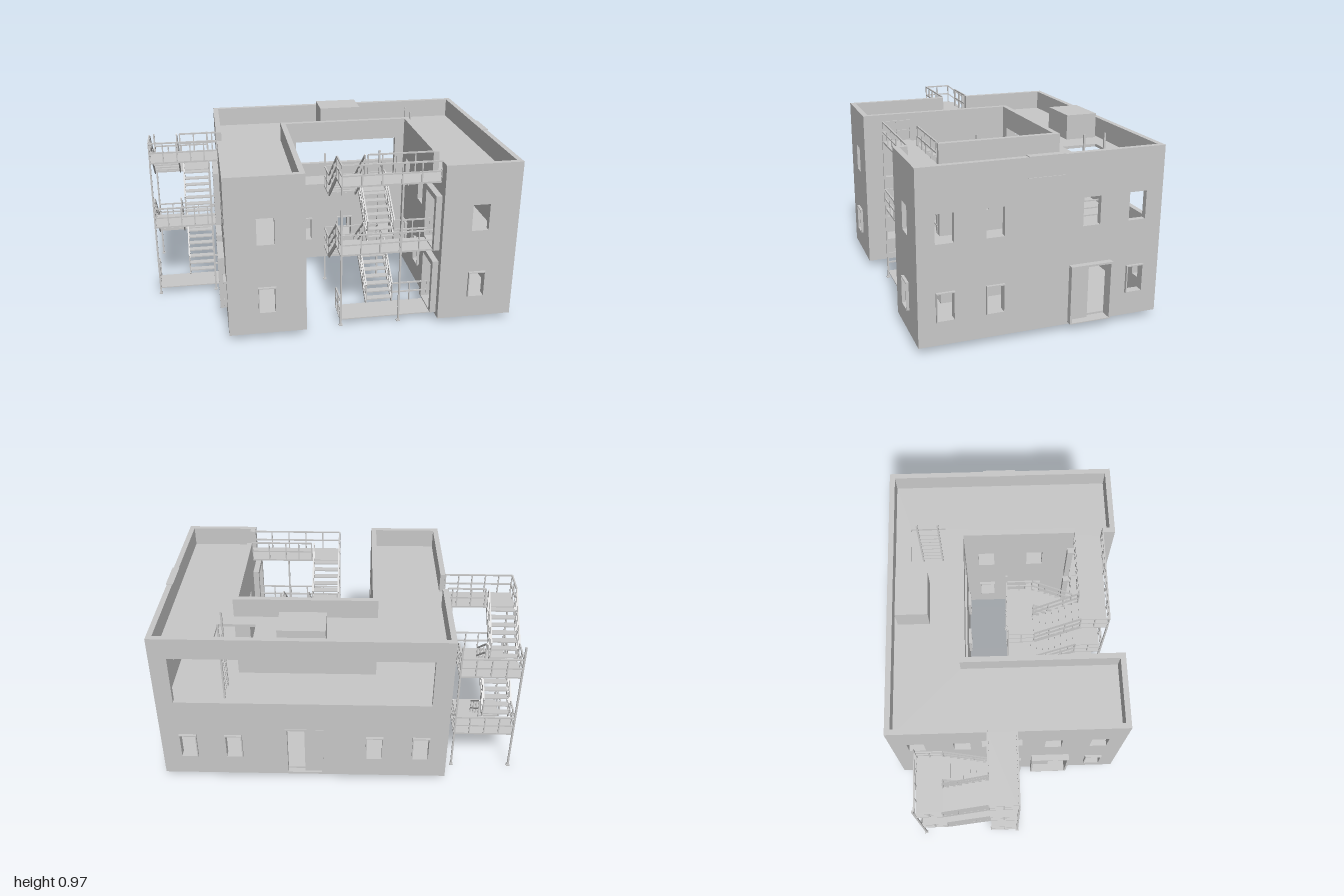
import * as THREE from 'three';

const grey = new THREE.MeshStandardMaterial({ color: 0xc8c8c8 });
grey.name = 'light grey';

const T = 0.03;                                   // wall thickness
const BASE = 0.035, DECK = 0.83, TOP = 0.94;      // underside, roof deck, parapet top

function add(parent, name, geometry) {
  const mesh = new THREE.Mesh(geometry, grey);
  mesh.name = name;
  parent.add(mesh);
  return mesh;
}

// Box given by its minimum and maximum corners
function box(parent, name, x0, x1, y0, y1, z0, z1) {
  const m = add(parent, name, new THREE.BoxGeometry(x1 - x0, y1 - y0, z1 - z0));
  m.position.set((x0 + x1) / 2, (y0 + y1) / 2, (z0 + z1) / 2);
}

// Square bar between two points
function bar(parent, name, a, b, w = 0.007, h = w) {
  const p = new THREE.Vector3(...a), q = new THREE.Vector3(...b);
  const m = add(parent, name, new THREE.BoxGeometry(w, h, p.distanceTo(q)));
  m.position.copy(p).add(q).multiplyScalar(0.5);
  m.lookAt(q);
}

function rect(Type, a, b, y0, y1) {
  return new Type([[a, y0], [b, y0], [b, y1], [a, y1]].map(p => new THREE.Vector2(...p)));
}

// Extrudes an upright shape across the wall, from depth d0 to d1 measured outwards
function panel(parent, name, shape, w, d0, d1) {
  const e = [w.outer + w.sign * d0, w.outer + w.sign * d1];
  const lo = Math.min(...e), hi = Math.max(...e);
  const m = add(parent, name, new THREE.ExtrudeGeometry(shape, { depth: hi - lo, bevelEnabled: false }));
  if (w.axis === 'z') m.position.z = lo;
  else { m.rotation.y = -Math.PI / 2; m.position.x = hi; }
}

function ring(outer, inner) {
  const s = rect(THREE.Shape, ...outer);
  s.holes.push(rect(THREE.Path, ...inner));
  return s;
}

// Wall with framed lower windows, plain upper windows, doors and an optional parapet gap
function wall(parent, w) {
  const g = new THREE.Group();
  g.name = w.name;
  parent.add(g);
  const pts = [[w.a, BASE], [w.b, BASE], [w.b, TOP]];
  if (w.gap) pts.push([w.gap[1], TOP], [w.gap[1], DECK], [w.gap[0], DECK], [w.gap[0], TOP]);
  pts.push([w.a, TOP]);
  const shape = new THREE.Shape(pts.map(p => new THREE.Vector2(...p)));
  const hole = (...r) => shape.holes.push(rect(THREE.Path, ...r));
  for (const c of w.low || []) {
    const o = [c - 0.048, c + 0.048, 0.163, 0.315];
    hole(...o);
    panel(g, 'windowFrame', ring(o, [o[0] + 0.006, o[1] - 0.006, o[2] + 0.006, o[3] - 0.006]), w, -T, 0.015);
  }
  for (const c of w.high || []) hole(c - 0.047, c + 0.047, 0.56, 0.71);
  if (w.big) hole(...w.big);
  // Double door: shallow frame and one closed leaf
  if (w.door) {
    const [a, b] = w.door, out = w.doorOut, mid = (a + b) / 2;
    hole(a, b, 0.045, 0.36);
    panel(g, 'doorFrame', ring([a, b, 0.045, 0.36], [a + 0.01, b - 0.01, 0.05, 0.35]), w, -T, out);
    const leaf = w.leafHigh ? [mid, b - 0.01] : [a + 0.01, mid];
    panel(g, 'doorLeaf', rect(THREE.Shape, ...leaf, 0.05, 0.35), w, -0.02, -0.01);
  }
  // Stair doors on both storeys, with deep projecting surrounds
  if (w.gap) for (const y of [0.06, 0.445]) {
    const [a, b] = w.gap;
    hole(a, b, y, y + 0.28);
    panel(g, 'stairDoorSurround', ring([a - 0.033, b + 0.03, y - 0.008, y + 0.31], [a, b, y, y + 0.28]), w, 0, 0.033);
  }
  panel(g, 'wallPanel', shape, w, -T, 0);
}

// U-shaped slab fitting inside the walls
function slab(parent, name, top, thick, hatch) {
  const s = new THREE.Shape([[-0.58, -0.618], [0.935, -0.618], [0.935, 0.618], [0.575, 0.618], [0.575, -0.25],
    [-0.22, -0.25], [-0.22, 0.618], [-0.58, 0.618]].map(p => new THREE.Vector2(...p)));
  if (hatch) s.holes.push(rect(THREE.Path, ...hatch));
  const geo = new THREE.ExtrudeGeometry(s, { depth: thick, bevelEnabled: false });
  geo.rotateX(Math.PI / 2);
  add(parent, name, geo).position.y = top;
}

// Guard rail along a straight edge, level or sloping
function guard(parent, a, b, posts = 2) {
  const h = 0.112;
  for (const f of [1, 0.5])
    bar(parent, 'handRail', [a[0], a[1] + h * f, a[2]], [b[0], b[1] + h * f, b[2]], 0.008);
  for (let i = 0; i <= posts; i++) {
    const p = a.map((v, k) => v + (b[k] - v) * i / posts);
    bar(parent, 'railPost', p, [p[0], p[1] + h, p[2]], 0.007);
  }
}

// Two-storey switchback stair; bridge is the x where its landings meet the building
function stair(parent, name, ox, oz, bridge) {
  const g = new THREE.Group();
  g.name = name;
  const level = k => 0.04 + k * 0.1975;
  const x0 = 0.01, x1 = 0.338, zH = 0.02, zA = 0.17, zB = 0.42, zN = 0.577, steps = 7;
  // Legs with foot plates
  for (const x of [x0, x1]) for (const [z, top] of [[zH, 0.825], [zN, DECK]]) {
    bar(g, 'leg', [x, 0, z], [x, top, z], 0.01);
    box(g, 'foot', x - 0.01, x + 0.01, 0, 0.006, z - 0.01, z + 0.01);
  }
  // Landings beside the building
  for (const k of [0, 2, 4]) {
    const y = level(k);
    box(g, 'landing', x0 - 0.005, bridge, y - (k ? 0.01 : 0.006), y, zB, zN);
    guard(g, [x0, y, zB], [x0, y, zN]);
    guard(g, [x1, y, zB], [bridge - 0.03, y, zB]);
    if (k) guard(g, [x0, y, zN], [bridge - 0.03, y, zN], 5);
  }
  guard(g, [0.18, level(4), zB], [x1, level(4), zB]);
  // Half landings
  for (const k of [1, 3]) {
    const y = level(k);
    box(g, 'halfLanding', x0 - 0.005, x1 + 0.005, y - 0.01, y, zH, zA);
    guard(g, [x0, y, zA], [x0, y, zH]);
    guard(g, [x1, y, zA], [x1, y, zH]);
    guard(g, [x0, y, zH], [x1, y, zH], 4);
  }
  // Flights with treads, stringers and rails
  for (let k = 0; k < 4; k++) {
    const up = k % 2 === 0;
    const xa = up ? 0.187 : x0, xb = up ? x1 : 0.163;
    const s = up ? zB : zA, e = up ? zA : zB;
    const y0 = level(k), y1 = level(k + 1);
    for (let i = 0; i < steps; i++) {
      const z = s + (e - s) * (i + 0.5) / steps, y = y0 + (y1 - y0) * (i + 0.8) / steps;
      box(g, 'tread', xa, xb, y - 0.007, y, z - 0.019, z + 0.019);
    }
    for (const x of [xa, xb]) {
      bar(g, 'stringer', [x, y0 - 0.006, s], [x, y1 - 0.006, e], 0.007, 0.022);
      guard(g, [x, y0, s], [x, y1, e], 3);
    }
  }
  g.position.set(ox, 0, oz);
  parent.add(g);
}

export function createModel() {
  const model = new THREE.Group();
  model.name = 'building';

  // Walls
  const four = [-0.51, -0.255, 0.255, 0.51], court = [-0.095, 0.195];
  [
    { name: 'frontLeftWall', axis: 'z', outer: 0.648, sign: 1, a: -0.61, b: -0.19, low: [-0.4], high: [-0.4] },
    { name: 'frontRightWall', axis: 'z', outer: 0.648, sign: 1, a: 0.545, b: 0.965, low: [0.753], high: [0.753] },
    { name: 'backWall', axis: 'z', outer: -0.648, sign: -1, a: -0.61, b: 0.965, low: [-0.465, -0.21, 0.565, 0.815],
      big: [-0.51, 0.87, 0.535, 0.82], door: [0.07, 0.28], doorOut: 0.003 },
    { name: 'courtyardBackWall', axis: 'z', outer: -0.22, sign: 1, a: -0.22, b: 0.575, low: [-0.08, 0.175, 0.432],
      big: [-0.13, 0.49, 0.54, 0.82] },
    { name: 'courtyardLeftWall', axis: 'x', outer: -0.19, sign: 1, a: -0.22, b: 0.618, low: [...court, 0.49],
      high: [...court, 0.49] },
    { name: 'courtyardRightWall', axis: 'x', outer: 0.545, sign: -1, a: -0.22, b: 0.618, low: court, high: court,
      gap: [0.42, 0.577] },
    { name: 'rightWall', axis: 'x', outer: 0.965, sign: 1, a: -0.618, b: 0.618, low: [-0.51, 0.255, 0.51], high: four,
      door: [-0.37, -0.14], doorOut: 0.032, leafHigh: true },
    { name: 'leftWall', axis: 'x', outer: -0.61, sign: -1, a: -0.618, b: 0.618, low: [-0.51, -0.255, 0.51], high: four,
      door: [0.14, 0.36], doorOut: 0.035, gap: [-0.11, 0.047] },
  ].forEach(w => wall(model, w));

  // Floors and roof
  slab(model, 'groundFloor', 0.06, 0.025);
  slab(model, 'upperFloor', 0.445, 0.025);
  slab(model, 'roofDeck', DECK, 0.015, [0.445, 0.655, -0.53, -0.33]);
  box(model, 'roofUnit', 0.053, 0.303, DECK, 0.97, -0.6, -0.42);
  box(model, 'parapetCap', 0.93, 0.97, TOP, 0.944, -0.1, 0.09);
  box(model, 'wallLedge', 0.965, 0.97, 0.834, 0.838, -0.1, 0.09);

  // Ladder to the roof hatch
  const ladder = new THREE.Group();
  ladder.name = 'hatchLadder';
  model.add(ladder);
  for (const z of [-0.49, -0.37]) bar(ladder, 'ladderRail', [0.622, 0.445, z], [0.622, 0.935, z], 0.01);
  for (let i = 0; i < 9; i++) {
    const y = 0.48 + i * 0.042;
    bar(ladder, 'rung', [0.622, y, -0.49], [0.622, y, -0.37], 0.007);
  }

  // Outside stairs
  stair(model, 'courtyardStair', 0, 0, 0.575);
  stair(model, 'leftStair', -1, -0.53, 0.42);
  return model;
}
